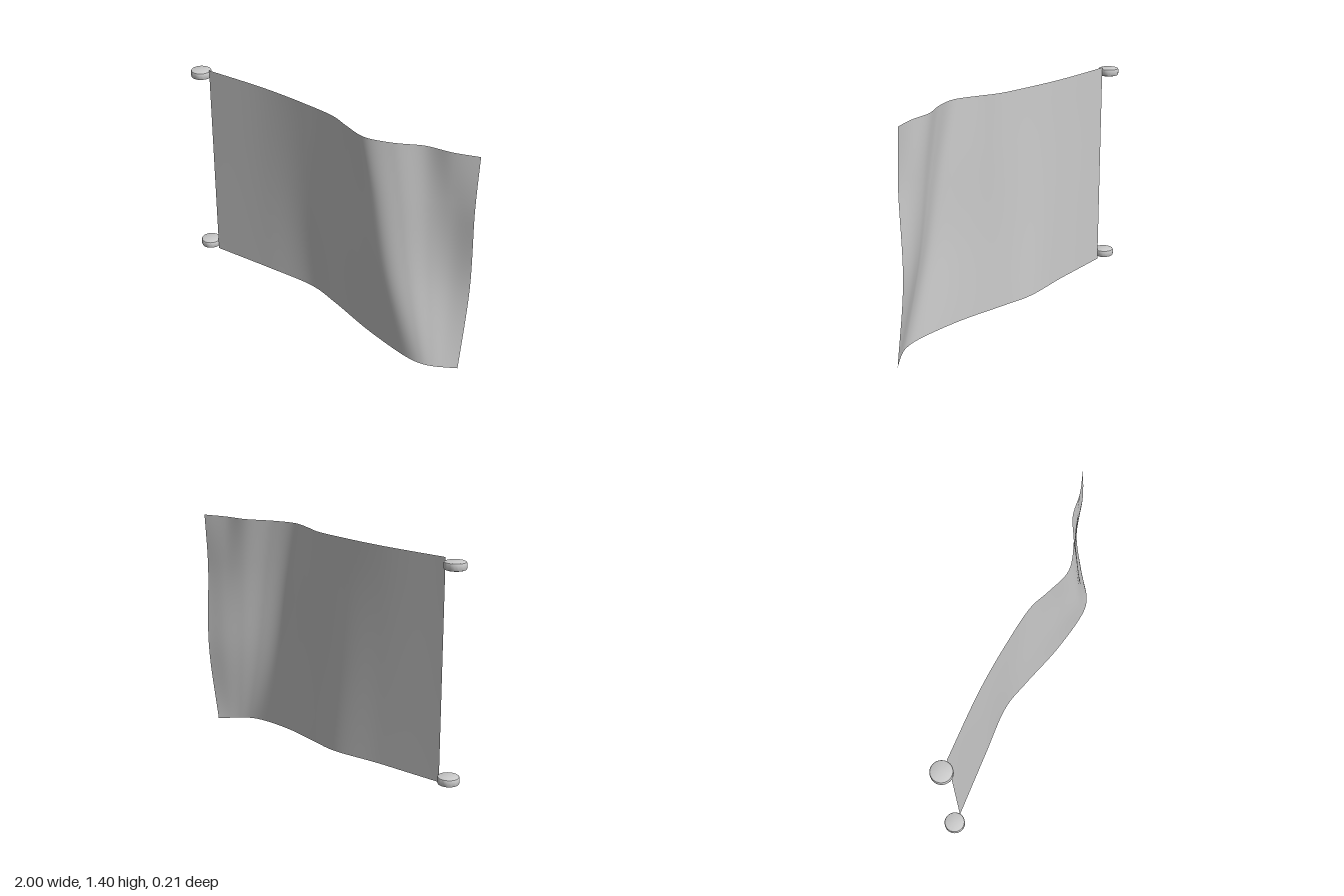
import * as THREE from 'three';
import { toCreasedNormals } from 'three/addons/utils/BufferGeometryUtils.js';

const grey = new THREE.MeshStandardMaterial({ color: 0xcccccc });
const greyThin = new THREE.MeshStandardMaterial({ color: 0xcccccc, side: THREE.DoubleSide });

// Wave profiles of the cloth, top to bottom: matching folds drift towards the free edge
const ROWS = [
  { y: 1.4, x: [-0.87, -0.45, -0.15, 0.1, 0.22, 0.38, 0.54, 0.7, 0.85, 1],
    z: [-0.02, -0.038, -0.027, 0, 0.045, 0.092, 0.05, -0.03, -0.055, -0.105] },
  { y: 1.1, x: [-0.87, -0.45, -0.15, 0.09, 0.27, 0.46, 0.6, 0.74, 0.87, 1],
    z: [-0.02, -0.04, -0.035, -0.008, 0.05, 0.098, 0.055, -0.02, -0.06, -0.089] },
  { y: 0.6, x: [-0.87, -0.45, -0.15, 0.08, 0.33, 0.57, 0.69, 0.79, 0.89, 1],
    z: [-0.02, -0.045, -0.052, -0.02, 0.053, 0.104, 0.065, 0, -0.06, -0.104] },
  { y: 0.1, x: [-0.87, -0.45, -0.1, 0.1, 0.42, 0.73, 0.82, 0.88, 0.94, 1],
    z: [-0.02, -0.05, -0.072, -0.03, 0.05, 0.09, 0.078, 0.05, 0.008, -0.038] },
];

function clothGeometry(nu = 96, nv = 48) {
  // One vertical curve per fold, then a horizontal curve across them at each height
  const columns = ROWS[0].x.map((_, c) =>
    new THREE.CatmullRomCurve3(ROWS.map((r) => new THREE.Vector3(r.x[c], r.y, r.z[c]))));
  const positions = [], index = [];
  for (let j = 0; j <= nv; j++) {
    const row = new THREE.CatmullRomCurve3(columns.map((c) => c.getPoint(j / nv)));
    for (let i = 0; i <= nu; i++) {
      const p = row.getPoint(i / nu);
      // The lower hem sags towards the free corner
      const sag = 0.097 * Math.pow(Math.max(0, (p.x + 0.5) / 1.5), 1.7);
      positions.push(p.x, p.y - sag * (1.4 - p.y) / 1.3, p.z);
      if (i < nu && j < nv) {
        const a = j * (nu + 1) + i, b = a + nu + 1;
        index.push(a, b, a + 1, b, b + 1, a + 1);
      }
    }
  }
  const g = new THREE.BufferGeometry();
  g.setAttribute('position', new THREE.Float32BufferAttribute(positions, 3));
  g.setIndex(index);
  g.computeVertexNormals();
  return g;
}

// Round fastening disc with softened rims
function discGeometry(r = 0.063, h = 0.045, b = 0.009) {
  const k = b * 0.3;
  const profile = [[0, 0], [r - b, 0], [r - k, k], [r, b], [r, h - b], [r - k, h - k], [r - b, h], [0, h]]
    .map(([x, y]) => new THREE.Vector2(x, y));
  return toCreasedNormals(new THREE.LatheGeometry(profile, 40), 0.6);
}

export function createModel() {
  const group = new THREE.Group();
  group.name = 'flag';

  const cloth = new THREE.Mesh(clothGeometry(), greyThin);
  cloth.name = 'cloth';
  group.add(cloth);

  // Discs at the upper and lower corners of the fixed edge
  for (const [name, y] of [['upperRing', 1.343], ['lowerRing', 0.112]]) {
    const disc = new THREE.Mesh(discGeometry(), grey);
    disc.name = name;
    disc.position.set(-0.937, y, -0.02);
    group.add(disc);
  }
  return group;
}
